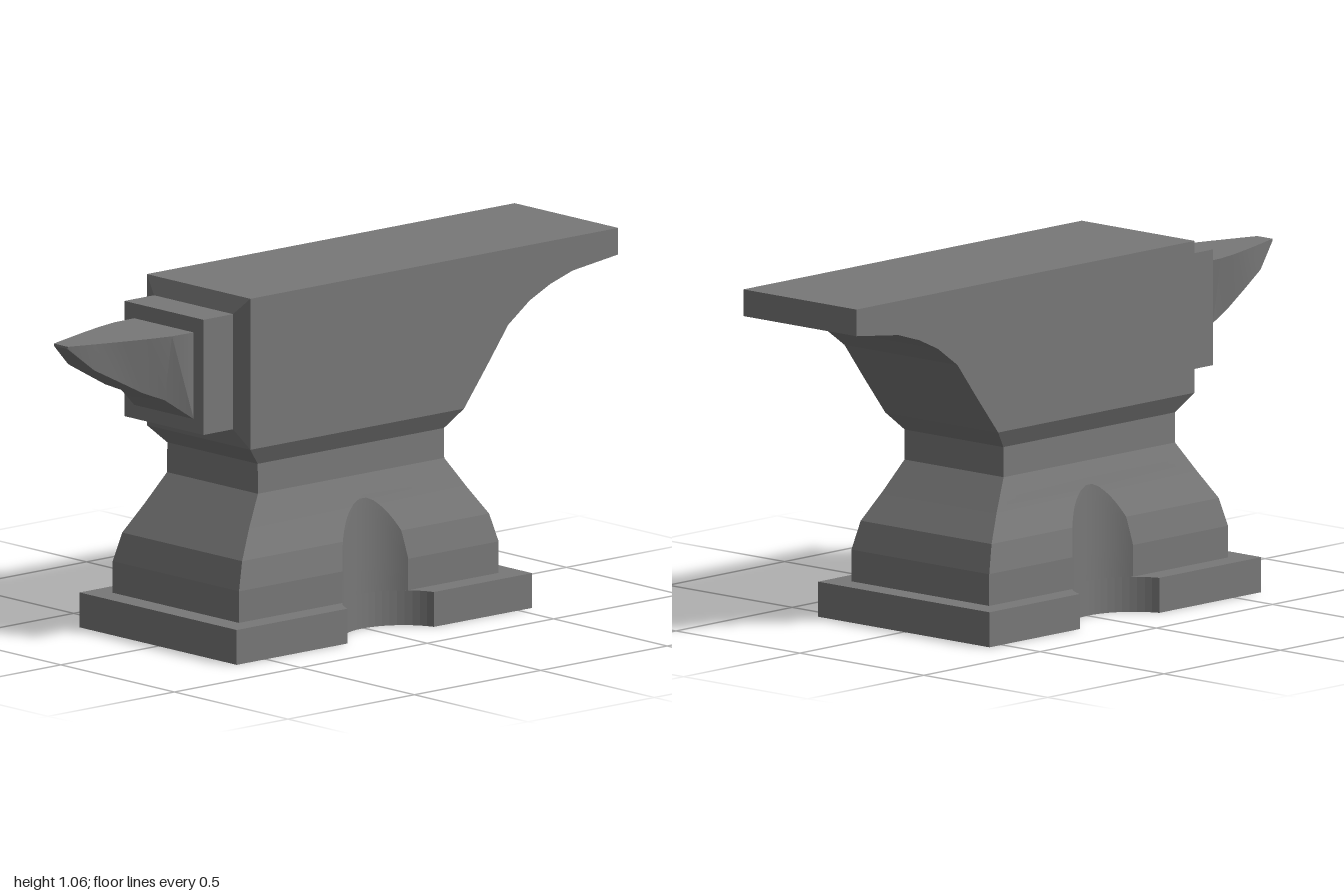
import * as THREE from 'three';
import { toCreasedNormals } from 'three/addons/utils/BufferGeometryUtils.js';

const material = new THREE.MeshStandardMaterial({ color: 0x787878 });
const V = (x, y, z) => new THREE.Vector3(x, y, z);

// Skins a stack of rings that run counter-clockwise as seen from the last one.
function loft(rings, { capEnd = false, crease = 0.15 } = {}) {
  const n = rings[0].length, index = [];
  for (let i = 0; i < rings.length - 1; i++) {
    for (let j = 0; j < n; j++) {
      const k = (j + 1) % n, a = i * n, b = a + n;
      index.push(a + j, a + k, b + k, a + j, b + k, b + j);
    }
  }
  const last = (rings.length - 1) * n;
  if (capEnd) for (let j = 1; j < n - 1; j++) index.push(last, last + j, last + j + 1);
  const geometry = new THREE.BufferGeometry().setFromPoints(rings.flat());
  geometry.setIndex(index);
  return toCreasedNormals(geometry, crease);
}

// Rectangle in plan with a round bite taken out of each long side.
// Bite points keep the same angles at every height, so its wall stays vertical.
const PLATE_X = 0.346;
const BITE = { x: 0.402, z: 0.006, r: 0.18, steps: 20 };
const biteReach = hx => Math.acos(Math.min(1, (BITE.x - hx) / BITE.r));
function bittenRing(y, hx, back, front) {
  const reach = biteReach(hx), bite = [];
  for (let i = 0; i <= BITE.steps; i++) {
    const a = THREE.MathUtils.clamp(biteReach(PLATE_X) * (1 - 2 * i / BITE.steps), -reach, reach);
    bite.push([Math.min(hx, BITE.x - BITE.r * Math.cos(a)), BITE.r * Math.sin(a)]);
  }
  return [
    V(hx, y, front), ...bite.map(([x, z]) => V(x, y, BITE.z + z)), V(hx, y, back),
    V(-hx, y, back), ...bite.map(([x, z]) => V(-x, y, BITE.z - z)), V(-hx, y, front),
  ];
}

// Plain rectangle in plan
const plainRing = (y, hx, back, front) =>
  [V(hx, y, front), V(hx, y, back), V(-hx, y, back), V(-hx, y, front)];

// Four-sided section facing +z, with its own widths at bottom and top.
const quadRing = (z, bottomX, topX, y0, y1) =>
  [V(-bottomX, y0, z), V(bottomX, y0, z), V(topX, y1, z), V(-topX, y1, z)];

export function createModel() {
  const group = new THREE.Group();
  const add = (name, geometry) => {
    const mesh = new THREE.Mesh(geometry, material);
    mesh.name = name;
    group.add(mesh);
  };

  // Foot plate
  const plan = bittenRing(0, PLATE_X, -0.553, 0.615).map(p => new THREE.Vector2(p.x, -p.z));
  add('footPlate', new THREE.ExtrudeGeometry(new THREE.Shape(plan), { depth: 0.105, bevelEnabled: false })
    .rotateX(-Math.PI / 2));

  // Waist: y, half width, back z, front z; slopes are subdivided so the bites arch cleanly
  const profile = [
    [0.105, 0.278, -0.482, 0.545], [0.2, 0.278, -0.482, 0.545], [0.285, 0.264, -0.457, 0.52],
    [0.37, 0.23, -0.398, 0.462], [0.46, 0.2, -0.337, 0.4], [0.55, 0.199, -0.337, 0.4],
  ];
  const rings = [bittenRing(...profile[0])];
  for (let i = 1; i < profile.length; i++) {
    const steps = i >= 2 && i <= 4 ? 8 : 1;
    for (let s = 1; s <= steps; s++) {
      rings.push(bittenRing(...profile[i].map((v, k) => THREE.MathUtils.lerp(profile[i - 1][k], v, s / steps))));
    }
  }
  add('waist', loft(rings));

  // Flare from the waist out to the block
  add('flare', loft([plainRing(0.55, 0.199, -0.337, 0.4), plainRing(0.605, 0.228, -0.39, 0.455)]));

  // Main block with the curved heel, as a side profile in z, y
  const side = [
    [0.455, 0.605], [0.455, 1.06], [-1, 1.06], [-1, 0.98], [-0.82, 0.958], [-0.73, 0.93],
    [-0.65, 0.893], [-0.565, 0.832], [-0.48, 0.72], [-0.39, 0.605],
  ].map(([z, y]) => new THREE.Vector2(-z, y));
  add('block', new THREE.ExtrudeGeometry(new THREE.Shape(side), { depth: 0.456, bevelEnabled: false })
    .translate(0, 0, -0.228).rotateY(Math.PI / 2));

  // Chamfered step in front of the block
  add('step', loft([
    quadRing(0.455, 0.228, 0.228, 0.605, 1.06),
    quadRing(0.475, 0.174, 0.174, 0.661, 1.008),
    quadRing(0.592, 0.174, 0.174, 0.661, 1.008),
  ], { capEnd: true }));

  // Horn: z, half width below, half width above, underside y
  add('horn', loft([
    [0.592, 0.131, 0.131, 0.702], [0.675, 0.095, 0.128, 0.765], [0.75, 0.083, 0.111, 0.795],
    [0.835, 0.071, 0.086, 0.84], [0.92, 0.057, 0.058, 0.885], [1, 0.03, 0.031, 0.956],
  ].map(([z, b, t, y]) => quadRing(z, b, t, y, 0.963)), { capEnd: true, crease: 0.4 }));

  return group;
}
